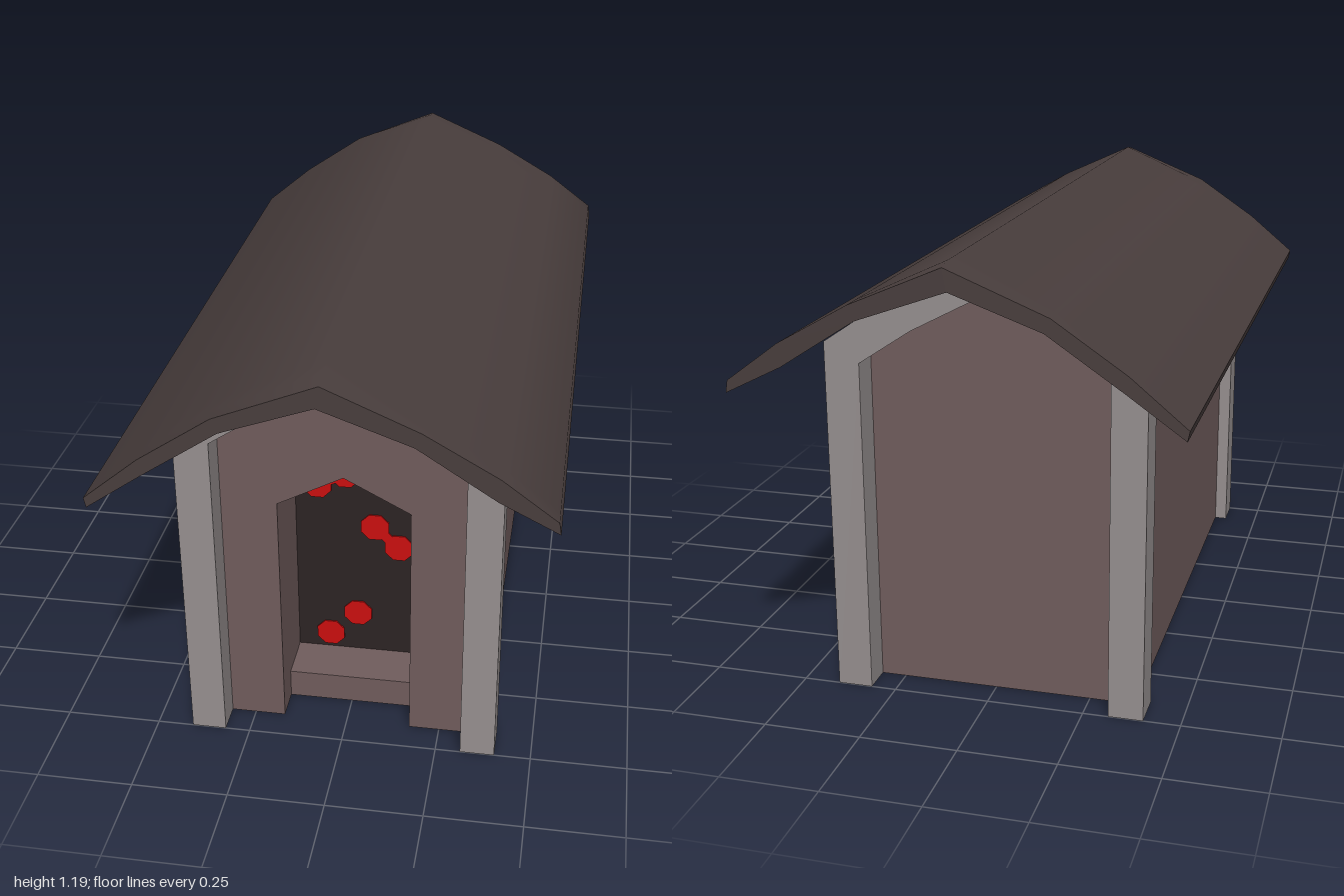
import * as THREE from 'three';
import { toCreasedNormals } from 'three/addons/utils/BufferGeometryUtils.js';

const material = (name, color) => {
  const m = new THREE.MeshStandardMaterial({ color });
  m.name = name;
  return m;
};

// Closed outline from [x, y] points
const outline = (pts) => new THREE.Shape(pts.map(([x, y]) => new THREE.Vector2(x, y)));

// Prism of an outline between two z positions
function prism(pts, z0, z1, steps = 1) {
  const geo = new THREE.ExtrudeGeometry(outline(pts), { depth: z1 - z0, bevelEnabled: false, steps });
  return geo.translate(0, 0, z0);
}

// Mirrors a right-hand half outline to the left
const mirrored = (half) => [...half, ...half.filter(([x]) => x > 0).reverse().map(([x, y]) => [-x, y])];

export function createModel() {
  const group = new THREE.Group();
  const wall = material('wall brown', 0x715d5d);
  const frame = material('frame grey', 0x979090);
  const roofing = material('roof brown', 0x493e3d);
  const dark = material('doorway dark', 0x2d2424);
  const red = material('eye red', 0xcc0f0f);

  const add = (name, geo, mat, x = 0, y = 0, z = 0) => {
    const mesh = new THREE.Mesh(geo, mat);
    mesh.name = name;
    mesh.position.set(x, y, z);
    group.add(mesh);
    return mesh;
  };
  const box = (name, w, h, d, mat, x, y, z) => add(name, new THREE.BoxGeometry(w, h, d), mat, x, y, z);

  // Walls: solid rear body and a front slab with the doorway cut out
  const gable = [[0.37, 0], [0.37, 0.92], [0.2, 1.03], [0, 1.11]];
  add('body', prism(mirrored(gable), -0.67, 0.45), wall);
  const front = [
    [0.17, 0], ...gable, [-0.2, 1.03], [-0.37, 0.92], [-0.37, 0],
    [-0.17, 0], [-0.17, 0.67], [0, 0.76], [0.17, 0.67],
  ];
  add('frontWall', prism(front, 0.45, 0.67), wall);
  box('doorStep', 0.34, 0.08, 0.135, wall, 0, 0.04, 0.5175);

  // Dark doorway panel
  const door = mirrored([[0.17, 0.08], [0.17, 0.67], [0, 0.76]]);
  add('doorway', prism(door, 0.45, 0.453), dark);

  // Pairs of octagonal eyes with a small bridge between
  const pairs = [
    [[-0.11, 0.605], [-0.035, 0.642]],
    [[0.045, 0.485], [0.11, 0.425]],
    [[-0.08, 0.128], [-0.003, 0.202]],
  ];
  pairs.forEach(([a, b], i) => {
    for (const [x, y] of [a, b]) {
      const eye = new THREE.CylinderGeometry(0.041, 0.041, 0.004, 8);
      eye.rotateY(Math.PI / 8).rotateX(Math.PI / 2);
      add('eye', eye, red, x, y, 0.455);
    }
    if (i === 2) return;
    const bridge = box('eyeBridge', 0.05, 0.028, 0.004, red, (a[0] + b[0]) / 2, (a[1] + b[1]) / 2, 0.455);
    bridge.rotation.z = Math.atan2(b[1] - a[1], b[0] - a[0]);
  });

  // Arched frames with posts at both ends
  const arch = [
    [0.315, 0], [0.405, 0], [0.405, 0.925], [0.22, 1.05], [0, 1.135],
    [-0.22, 1.05], [-0.405, 0.925], [-0.405, 0], [-0.315, 0],
    [-0.315, 0.875], [-0.18, 0.965], [0, 1.06], [0.18, 0.965], [0.315, 0.875],
  ];
  add('frontFrame', prism(arch, 0.65, 0.75), frame);
  add('backFrame', prism(arch, -0.75, -0.65), frame);

  // Beams along the tops of the side walls
  for (const side of [1, -1]) {
    box(side > 0 ? 'leftBeam' : 'rightBeam', 0.07, 0.07, 1.3, frame, side * 0.37, 0.883, 0);
  }

  // Curved roof, dipping slightly at both ends of the ridge
  const roofProfile = [
    [-0.54, 0.828], [-0.405, 0.923], [-0.22, 1.048], [0, 1.135], [0.22, 1.048], [0.405, 0.928], [0.545, 0.857],
    [0.54, 0.888], [0.41, 0.985], [0.235, 1.085], [0.01, 1.19], [-0.235, 1.083], [-0.41, 0.965], [-0.545, 0.853],
  ];
  const roof = prism(roofProfile, -1, 1, 40);
  const p = roof.attributes.position;
  for (let i = 0; i < p.count; i++) {
    if (Math.abs(p.getZ(i)) > 0.99 && p.getY(i) > 1.1) p.setY(i, p.getY(i) - 0.008);
  }
  add('roof', toCreasedNormals(roof, 0.86), roofing);

  return group;
}
